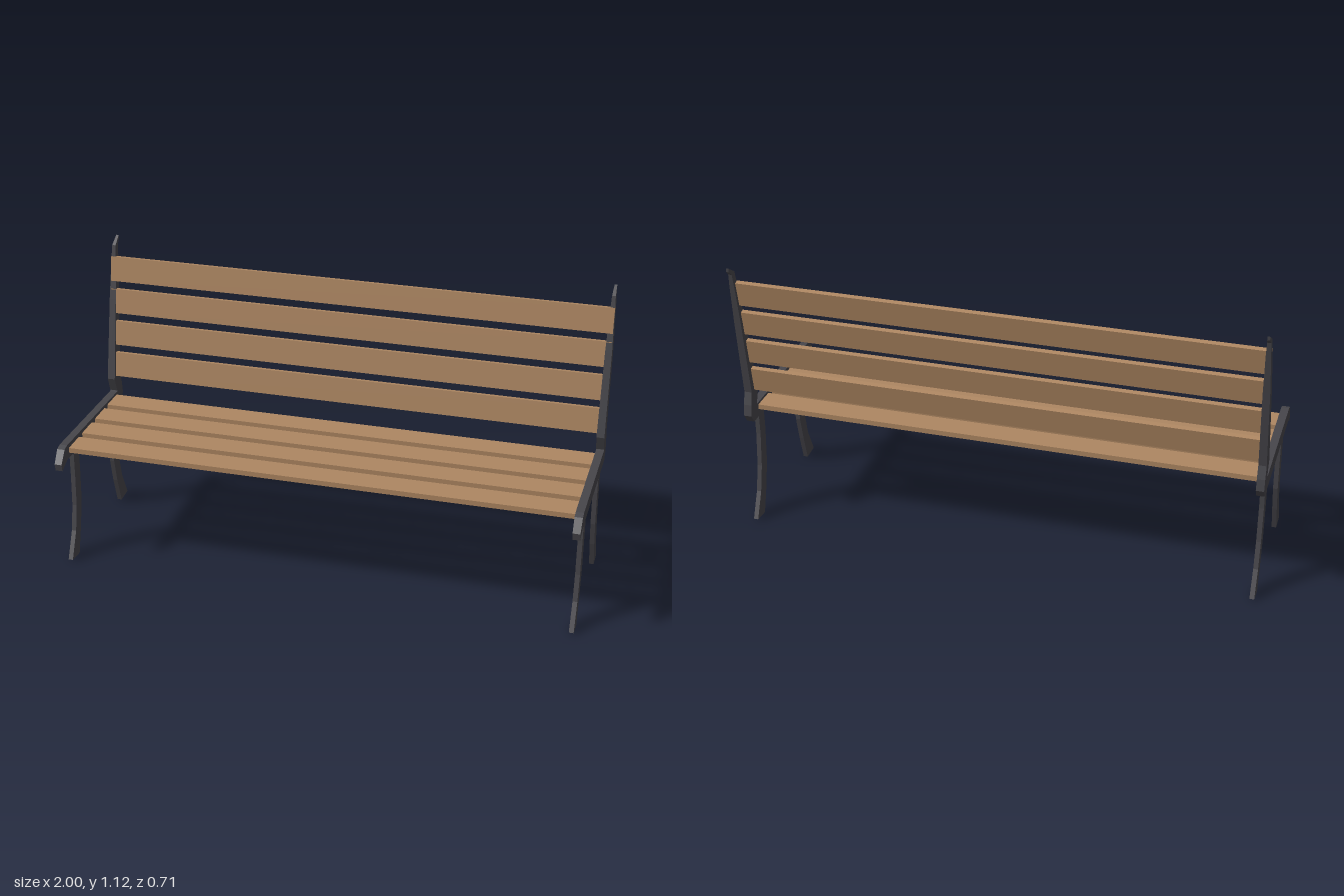
import * as THREE from 'three';

const wood = new THREE.MeshStandardMaterial({ color: 0xae8762 });
wood.name = 'wood';
const iron = new THREE.MeshStandardMaterial({ color: 0x47464b });
iron.name = 'dark iron';

// Lofts a rectangular bar through sections [zA, yA, zB, yB, halfThickness]
function loft(sections) {
  const rings = sections.map(([za, ya, zb, yb, h]) => [[-h, ya, za], [h, ya, za], [h, yb, zb], [-h, yb, zb]]);
  const pos = [];
  const quad = (a, b, c, d) => [a, b, c, a, c, d].forEach((p) => pos.push(...p));
  for (let i = 0; i < rings.length - 1; i++) {
    const p = rings[i], q = rings[i + 1];
    for (let k = 0; k < 4; k++) {
      const n = (k + 1) % 4;
      quad(p[k], p[n], q[n], q[k]);
    }
  }
  const s = rings[0], e = rings[rings.length - 1];
  quad(s[0], s[3], s[2], s[1]);
  quad(e[0], e[1], e[2], e[3]);
  const geo = new THREE.BufferGeometry();
  geo.setAttribute('position', new THREE.Float32BufferAttribute(pos, 3));
  geo.computeVertexNormals();
  return geo;
}

// Seat rail that turns up into the back post, thinning towards the top
const railGeo = loft([
  [0.355, 0.45, 0.35, 0.422, 0.014],
  [0.32, 0.498, 0.3, 0.447, 0.015],
  [0.295, 0.505, 0.29, 0.447, 0.015],
  [-0.215, 0.496, -0.258, 0.437, 0.015],
  [-0.221, 0.497, -0.28, 0.47, 0.015],
  [-0.222, 0.5, -0.274, 0.515, 0.015],
  [-0.202, 0.558, -0.261, 0.565, 0.015],
  [-0.266, 0.88, -0.304, 0.88, 0.013],
  [-0.297, 1.03, -0.325, 1.03, 0.0095],
  [-0.309, 1.092, -0.333, 1.087, 0.007],
  [-0.352, 1.12, -0.351, 1.105, 0.005],
]);

// Curved legs, flaring outwards at the foot
const frontLegGeo = loft([
  [0.177, 0.46, 0.227, 0.46, 0.009],
  [0.178, 0.34, 0.228, 0.34, 0.009],
  [0.184, 0.208, 0.234, 0.212, 0.009],
  [0.208, 0.105, 0.256, 0.11, 0.009],
  [0.238, 0, 0.306, 0.006, 0.009],
]);
const backLegGeo = loft([
  [-0.202, 0.46, -0.154, 0.46, 0.009],
  [-0.199, 0.35, -0.151, 0.35, 0.009],
  [-0.21, 0.212, -0.16, 0.208, 0.009],
  [-0.234, 0.108, -0.181, 0.108, 0.009],
  [-0.281, 0.006, -0.214, 0, 0.009],
]);

function addMesh(parent, name, geo, mat) {
  const mesh = new THREE.Mesh(geo, mat);
  mesh.name = name;
  parent.add(mesh);
  return mesh;
}

export function createModel() {
  const bench = new THREE.Group();
  bench.name = 'bench';

  // Iron end frames
  for (const [side, x] of [['left', 0.985], ['right', -0.985]]) {
    const frame = new THREE.Group();
    frame.name = side + 'Frame';
    frame.position.x = x;
    addMesh(frame, 'seatRailAndBackPost', railGeo, iron);
    addMesh(frame, 'frontLeg', frontLegGeo, iron);
    addMesh(frame, 'backLeg', backLegGeo, iron);
    bench.add(frame);
  }

  // Seat slats and tilted back slats
  const slatGeo = new THREE.BoxGeometry(1.988, 0.02, 0.098);
  const tilt = Math.atan(0.165);
  for (let i = 0; i < 4; i++) {
    const seat = addMesh(bench, 'seatSlat' + (i + 1), slatGeo, wood);
    seat.position.set(0, 0.477, 0.231 - i * 0.131);

    const back = addMesh(bench, 'backSlat' + (i + 1), slatGeo, wood);
    const y = 0.615 + i * 0.128;
    back.position.set(0, y, -0.234 - (y - 0.615) * 0.165);
    back.rotation.x = Math.PI / 2 - tilt;
  }
  return bench;
}
